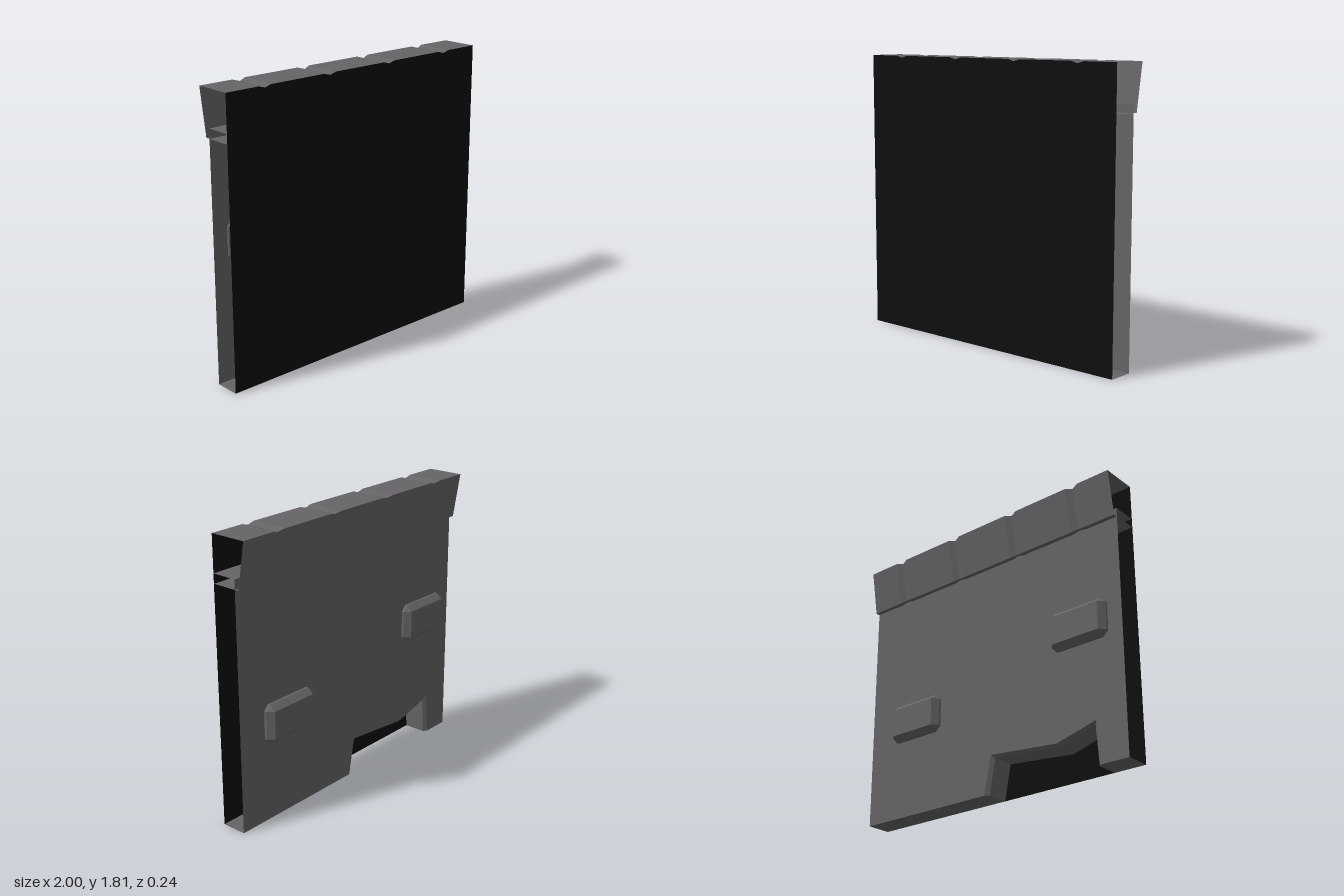
import * as THREE from 'three';

const FRONT = 0.12, BACK = -0.043, BEVEL = -0.024;
const LID_Y = 1.58, TOP = 1.81, GROOVE_DEPTH = 0.013;

// Skin a grid of cross-section rows with flat quads
function skin(rows) {
  const pos = [];
  for (let i = 0; i < rows.length - 1; i++) {
    for (let j = 0; j < rows[i].length - 1; j++) {
      const a = rows[i][j], b = rows[i][j + 1], c = rows[i + 1][j], d = rows[i + 1][j + 1];
      pos.push(...a, ...c, ...b, ...c, ...d, ...b);
    }
  }
  const g = new THREE.BufferGeometry();
  g.setAttribute('position', new THREE.Float32BufferAttribute(pos, 3));
  g.computeVertexNormals();
  return g;
}

// Stations across the width: [x, groove amount]
function grooveStations() {
  const s = [[-1, 0]];
  for (const x of [-0.727, -0.243, 0.24, 0.722]) s.push([x - 0.045, 0], [x, 1], [x + 0.045, 0]);
  s.push([1, 0]);
  return s;
}

// Bevelled block standing proud of the back wall
function blockGeometry(cx, cy) {
  const w = 0.2, h = 0.125, c = 0.035;
  const loop = (z, cut, inset) => {
    const W = w - inset, H = h - inset;
    const p = [
      [W - cut, H], [-W + cut, H], [-W, H - cut], [-W, -H + cut],
      [-W + cut, -H], [W - cut, -H], [W, -H + cut], [W, H - cut],
    ].map(([x, y]) => [cx + x, cy + y, z]);
    return [...p, p[0]];
  };
  const centre = Array.from({ length: 9 }, () => [cx, cy, -0.096]);
  return skin([loop(-0.029, c, 0), loop(-0.057, c, 0), loop(-0.096, 0, c), centre]);
}

export function createModel() {
  const group = new THREE.Group();
  const black = new THREE.MeshStandardMaterial({ color: 0x0e0e0e, side: THREE.DoubleSide });
  black.name = 'black';
  const grey = new THREE.MeshStandardMaterial({ color: 0x666466, side: THREE.DoubleSide });
  grey.name = 'stone grey';
  const add = (name, geometry, material = grey) => {
    const m = new THREE.Mesh(geometry, material);
    m.name = name;
    group.add(m);
    return m;
  };
  const stations = grooveStations();

  // Front panel, its top edge following the grooves
  const front = new THREE.Shape([
    new THREE.Vector2(-1, 0), new THREE.Vector2(1, 0),
    ...stations.slice().reverse().map(([x, g]) => new THREE.Vector2(x, TOP - g * GROOVE_DEPTH)),
  ]);
  add('frontPanel', new THREE.ShapeGeometry(front).translate(0, 0, FRONT), black);

  // Grooved coping with a leaning back face
  add('coping', skin(stations.map(([x, g]) => [
    [x, TOP - g * GROOVE_DEPTH, FRONT],
    [x, TOP - g * GROOVE_DEPTH, -0.12 + g * 0.013],
    [x, 1.52 + g * 0.01, -0.072 + g * 0.011],
    [x, 1.52 + g * 0.01, FRONT],
  ])));

  // Broken opening at the foot of the wall: outer and inner outlines
  const outer = [[0.036, 0], [-0.016, 0.245], [-0.51, 0.197], [-0.793, 0.27], [-0.814, 0]];
  const inner = [[0.008, 0], [-0.037, 0.225], [-0.51, 0.178], [-0.773, 0.253], [-0.79, 0]];
  const at = (outline, z) => outline.map(([x, y]) => [x, y, z]);
  add('openingSides', skin([at(outer, BACK), at(inner, BEVEL), at(inner, FRONT)]));

  // Back wall, drawn mirrored and turned to face backward
  const back = new THREE.Shape(
    [[1, 0], ...outer, [-1, 0], [-1, LID_Y], [1, LID_Y]].map(([x, y]) => new THREE.Vector2(-x, y)),
  );
  add('backWall', new THREE.ShapeGeometry(back).rotateY(Math.PI).translate(0, 0, BACK));

  // Wall top inside the coping
  add('wallTop', skin([BACK, FRONT].map((z) => [[-1, LID_Y, z], [1, LID_Y, z]])));

  // Underside on both sides of the opening
  const depths = [[FRONT, inner], [BEVEL, inner], [BACK, outer]];
  add('undersideLeft', skin(depths.map(([z, o]) => [[o[0][0], 0, z], [1, 0, z]])));
  add('undersideRight', skin(depths.map(([z, o]) => [[-1, 0, z], [o[4][0], 0, z]])));

  // Raised blocks
  add('blockLeft', blockGeometry(0.6, 0.632));
  add('blockRight', blockGeometry(-0.7, 0.888));

  return group;
}
